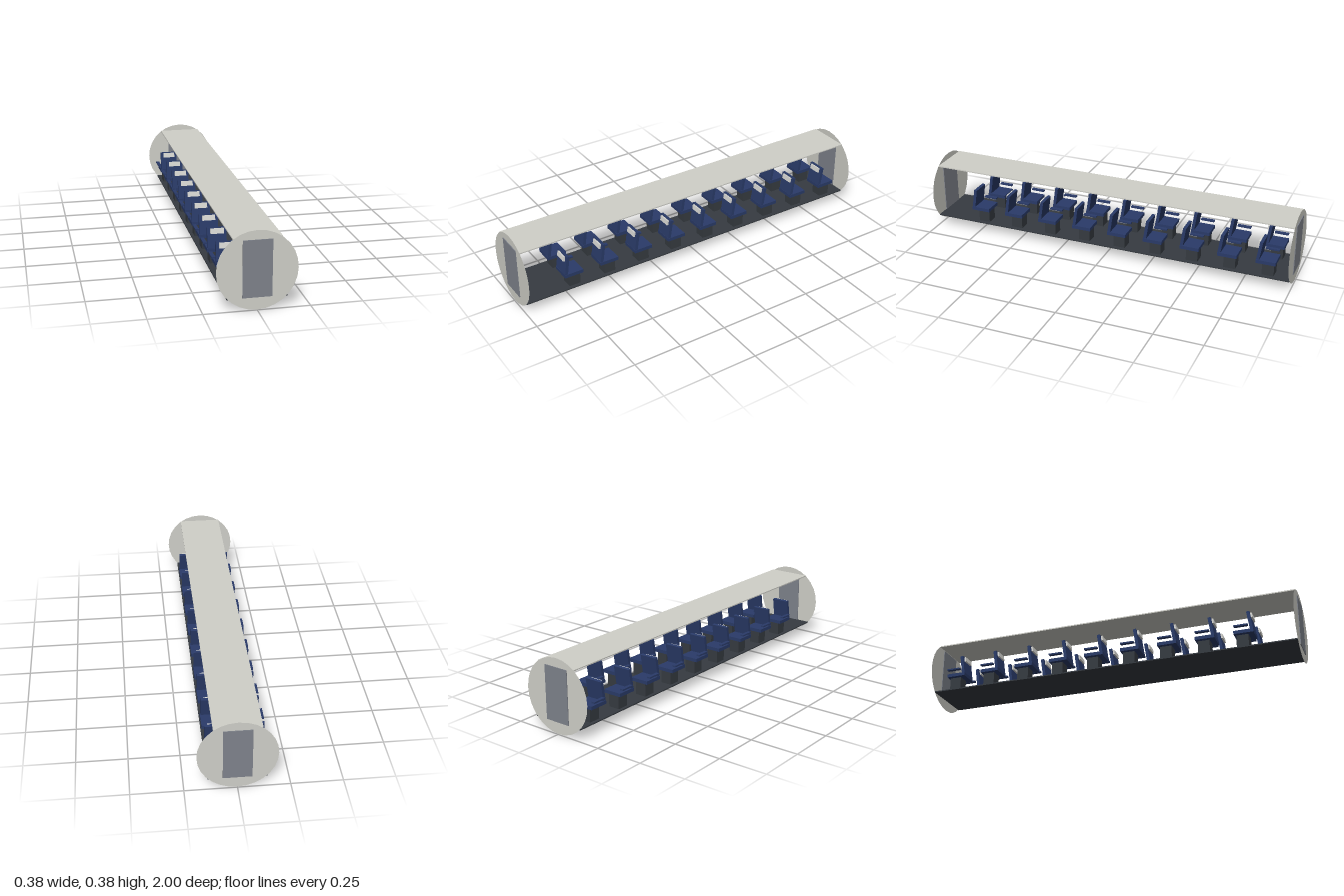
import * as THREE from 'three';

const mat = (name, color, side = THREE.FrontSide) => {
  const m = new THREE.MeshStandardMaterial({ color, side });
  m.name = name;
  return m;
};

export function createModel() {
  const shell = mat('warm grey shell', 0xd0d0c9, THREE.DoubleSide);
  const doorGrey = mat('door grey', 0x7f838c);
  const dark = mat('dark floor grey', 0x363b41);
  const blue = mat('navy upholstery', 0x2a3b69);
  const pale = mat('pale headrest', 0xd9d9d5);

  const model = new THREE.Group();
  model.name = 'passengerCabin';

  const box = (parent, name, material, size, pos) => {
    const mesh = new THREE.Mesh(new THREE.BoxGeometry(...size), material);
    mesh.name = name;
    mesh.position.set(...pos);
    parent.add(mesh);
    return mesh;
  };

  // Floor and ceiling slabs
  box(model, 'floor', dark, [0.28, 0.006, 1.99], [0, 0.059, 0]);
  box(model, 'ceiling', shell, [0.228, 0.006, 1.99], [0, 0.343, 0]);

  // Flat round bulkhead and door at each end
  for (const end of [1, -1]) {
    const disc = new THREE.Mesh(new THREE.CircleGeometry(0.19, 28), shell);
    disc.name = 'bulkhead';
    disc.position.set(0, 0.19, end * 0.996);
    model.add(disc);
    box(model, 'door', doorGrey, [0.138, 0.274, 0.008], [0, 0.198, end * 0.996]);
  }

  // One seat: pedestal, cushion, single armrest, tilted back with headrest
  const makeSeat = () => {
    const seat = new THREE.Group();
    seat.name = 'seat';
    box(seat, 'pedestal', dark, [0.06, 0.072, 0.062], [0, 0.098, -0.01]);
    box(seat, 'cushion', blue, [0.1, 0.018, 0.102], [0, 0.141, 0]);
    box(seat, 'armrest', blue, [0.018, 0.008, 0.072], [-0.056, 0.17, -0.01]);
    const back = new THREE.Group();
    back.name = 'seatBack';
    back.position.set(0, 0.196, 0.035);
    back.rotation.x = -0.15;
    box(back, 'backrest', blue, [0.095, 0.108, 0.016], [0, 0, 0]);
    box(back, 'headrest', pale, [0.065, 0.026, 0.01], [0, 0.037, 0.012]);
    seat.add(back);
    return seat;
  };

  // Nine rows, one seat on each side of the aisle
  for (let row = 0; row < 9; row++) {
    for (const x of [0.092, -0.094]) {
      const seat = makeSeat();
      seat.position.set(x, 0, 0.73 - row * 0.2);
      model.add(seat);
    }
  }
  return model;
}
